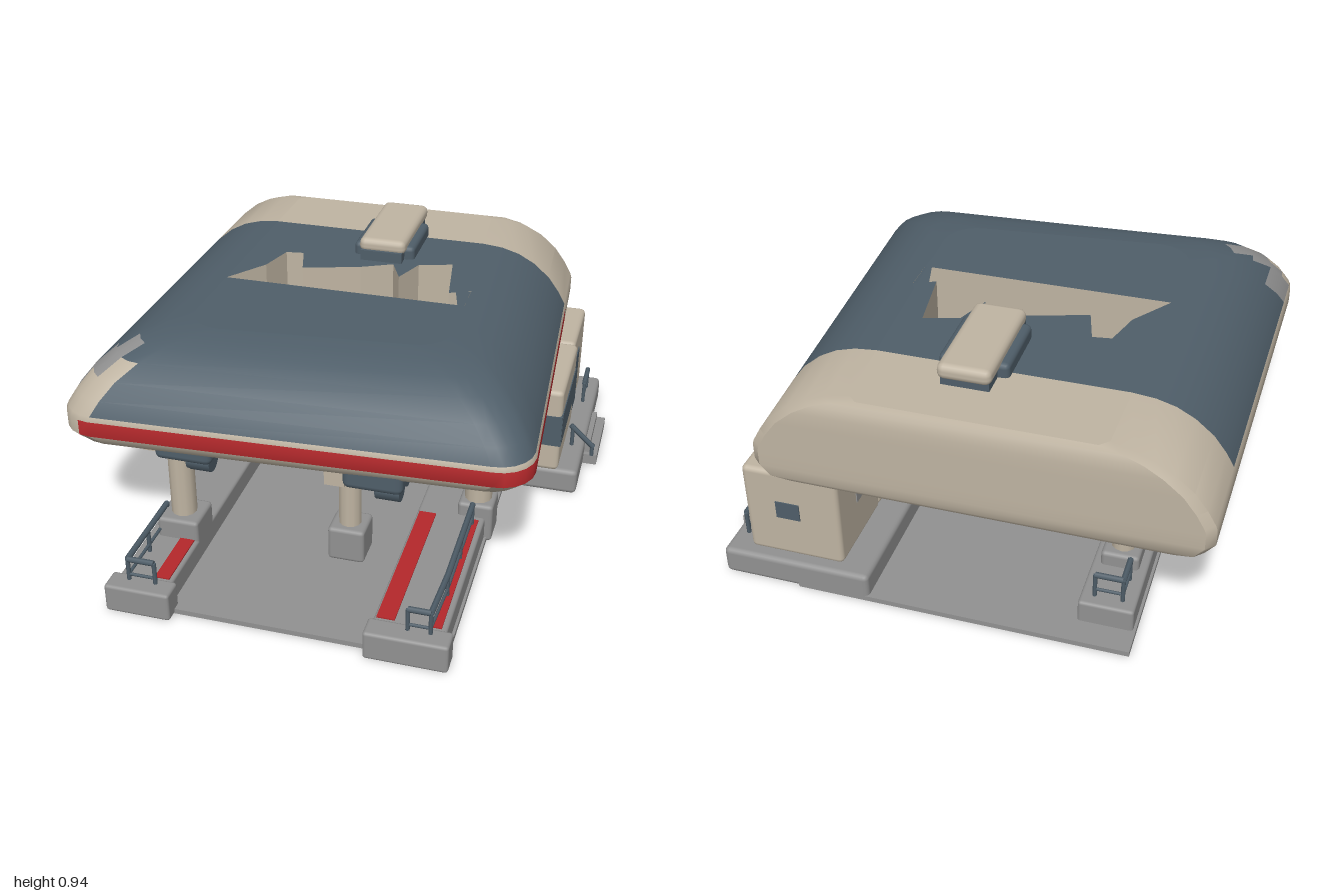
import * as THREE from 'three';
import { toCreasedNormals } from 'three/addons/utils/BufferGeometryUtils.js';
import { RoundedBoxGeometry } from 'three/addons/geometries/RoundedBoxGeometry.js';

const paint = (name, color, side = THREE.FrontSide) => {
  const m = new THREE.MeshStandardMaterial({ color, side });
  m.name = name;
  return m;
};

export function createModel() {
  const slate = paint('slate', 0x4f5e69);
  const tan = paint('tan', 0xbfb4a2, THREE.DoubleSide);
  const red = paint('red', 0xb4282b);
  const gray = paint('gray', 0x919191);
  const model = new THREE.Group();

  const add = (name, geo, mat, parent = model) => {
    const mesh = new THREE.Mesh(geo, mat);
    mesh.name = name;
    parent.add(mesh);
    return mesh;
  };
  // Box from its limits, with optional rounded edges
  const box = (name, mat, [x0, x1], [y0, y1], [z0, z1], r = 0) => {
    const s = [x1 - x0, y1 - y0, z1 - z0];
    const mesh = add(name, r ? new RoundedBoxGeometry(...s, 2, r) : new THREE.BoxGeometry(...s), mat);
    mesh.position.set((x0 + x1) / 2, (y0 + y1) / 2, (z0 + z1) / 2);
    return mesh;
  };
  const bar = (name, mat, a, b, r, parent) => {
    const p = new THREE.Vector3(...a), q = new THREE.Vector3(...b);
    const mesh = add(name, new THREE.CylinderGeometry(r, r, p.distanceTo(q), 6), mat, parent);
    mesh.position.copy(p).add(q).multiplyScalar(0.5);
    mesh.quaternion.setFromUnitVectors(new THREE.Vector3(0, 1, 0), q.sub(p).normalize());
    return mesh;
  };

  // ---- Canopy: stacked rounded outlines, slightly skewed in plan ----
  const chain = (left, d, db) => {
    const f = left ? 0.72 : 0.65, r = 0.13, s = left ? -1 : 1;
    const edge = z => left ? -0.93 + (0.72 - z) * 0.023 + d : 0.79 - (0.66 - z) * 0.054 - d;
    const pts = [[edge(-1) - s * 0.03, -1 + db], [edge(-0.96), -0.97 + db]];
    for (const z of [-0.66, 0, f - d - 0.27]) pts.push([edge(z), z]);
    const zc = f - d - r, xc = edge(zc) - s * r;
    for (let k = 0; k <= 5; k++) {
      const a = k / 5 * Math.PI / 2;
      pts.push([xc + s * r * Math.cos(a), zc + r * Math.sin(a)]);
    }
    return pts;
  };
  const outline = (d, db) => [...chain(true, d, db), ...chain(false, d, db).reverse()];
  // height, side and front inset, back inset
  const layers = [
    [0.475, 0.24, 0.16], [0.475, 0.1, 0.02], [0.495, 0.035, 0.005], [0.54, 0, 0], [0.6, 0, 0], [0.618, 0.006, 0],
    [0.67, 0.035, 0], [0.73, 0.08, 0], [0.785, 0.145, 0], [0.82, 0.21, 0.006], [0.84, 0.28, 0.016], [0.848, 0.36, 0.035],
  ];
  const rings = layers.map(([y, d, db]) => outline(d, db).map(([x, z]) => [x, y, z]));
  const canopyMats = [tan, slate, red, gray];
  const colourOf = (x, y, z, j) => {
    if (z < -0.66 || j < 3 || j === 4) return 0;
    if (j === 3) return x > -0.85 ? 2 : 0;
    if (x < -0.68 && z > 0.57) return 0;
    if (x < -0.68 && z > 0.44) return 3;
    return 1;
  };
  const buckets = [[], [], [], []];
  for (let j = 0; j + 1 < rings.length; j++) {
    const A = rings[j], B = rings[j + 1], n = A.length;
    for (let i = 0; i < n; i++) {
      const k = (i + 1) % n, quad = [A[i], A[k], B[k], B[i]];
      const mid = [0, 1, 2].map(c => quad.reduce((t, p) => t + p[c], 0) / 4);
      const [a, b, c, d] = quad;
      buckets[colourOf(...mid, j)].push(...a, ...b, ...c, ...a, ...c, ...d);
    }
  }
  const hull = new THREE.BufferGeometry();
  hull.setAttribute('position', new THREE.Float32BufferAttribute(buckets.flat(), 3));
  let start = 0;
  buckets.forEach((b, i) => {
    hull.addGroup(start, b.length / 3, i);
    start += b.length / 3;
  });
  add('canopyHull', toCreasedNormals(hull, 0.7), canopyMats);

  // Flat caps
  const cap = (name, pts, y, mat, up = true, hole) => {
    const s = up ? -1 : 1;
    const toV = p => new THREE.Vector2(p[0], s * p[1]);
    const shape = new THREE.Shape(pts.map(toV));
    if (hole) shape.holes.push(new THREE.Path(hole.map(toV)));
    const geo = new THREE.ShapeGeometry(shape).rotateX(s * Math.PI / 2);
    add(name, geo, mat).position.y = y;
  };
  const top = layers.at(-1), roofY = top[0];
  const L = chain(true, top[1], top[2]), R = chain(false, top[1], top[2]);
  // Jagged opening in the roof
  const hole = [[-0.55, -0.065], [0.4, -0.065], [0.4, -0.2], [0.32, -0.16], [0.28, -0.42], [0.15, -0.38], [0.1, -0.25],
    [0.05, -0.36], [-0.07, -0.3], [-0.29, -0.23], [-0.33, -0.37], [-0.4, -0.36], [-0.44, -0.22]];
  cap('roofBack', [...L.slice(0, 3), ...R.slice(0, 3).reverse()], roofY, tan);
  cap('roofFront', [...L.slice(2), ...R.slice(2).reverse()], roofY, slate, true, hole);
  cap('ceiling', outline(layers[0][1], layers[0][2]), layers[0][0], slate, false);
  cap('openingFloor', hole, 0.6, slate);
  const wall = [];
  hole.forEach(([x, z], i) => {
    const [u, w] = hole[(i + 1) % hole.length];
    const a = [x, 0.6, z], b = [u, 0.6, w], c = [u, roofY, w], d = [x, roofY, z];
    wall.push(...a, ...c, ...b, ...a, ...d, ...c);
  });
  const wallGeo = new THREE.BufferGeometry();
  wallGeo.setAttribute('position', new THREE.Float32BufferAttribute(wall, 3));
  wallGeo.computeVertexNormals();
  add('openingWalls', wallGeo, tan);

  // Roof vent
  box('ventBase', slate, [-0.13, 0.12], [0.83, 0.9], [-0.7, -0.42], 0.02);
  box('ventNeck', slate, [-0.09, 0.08], [0.83, 0.89], [-0.79, -0.37]);
  box('ventHood', tan, [-0.1, 0.09], [0.875, 0.935], [-0.81, -0.38], 0.025);

  // ---- Ground slab and platforms ----
  box('floorSlab', gray, [-0.64, 0.58], [0, 0.02], [-1, 0.95]);
  box('rightPlatform', gray, [-0.63, -0.43], [0, 0.105], [-0.9, 0.95], 0.012);
  box('leftPlatform', gray, [0.31, 0.57], [0, 0.105], [-0.3, 0.95], 0.012);
  box('rightFrontBlock', gray, [-0.655, -0.41], [0, 0.112], [0.91, 1], 0.012);
  box('leftFrontBlock', gray, [0.295, 0.595], [0, 0.112], [0.91, 1], 0.012);
  box('cabinBase', gray, [0.31, 0.87], [0, 0.108], [-1, -0.18], 0.02);
  box('cabinStep', gray, [0.8, 0.925], [0, 0.045], [-0.75, -0.43]);
  box('upperStep', gray, [0.8, 0.89], [0.04, 0.08], [-0.73, -0.45]);
  for (const [x0, x1, z0] of [[-0.5, -0.445, 0.6], [0.32, 0.385, 0.25], [0.52, 0.55, 0.25]])
    box('redStrip', red, [x0, x1], [0.104, 0.11], [z0, 0.9]);

  // ---- Columns on pedestals ----
  for (const [x, z, r, foot, y0, y1] of [
    [-0.51, 0.58, 0.048, 0.08, 0.05, 0.185], [0.1, 0.45, 0.043, 0.07, 0.02, 0.16],
    [0.53, 0.16, 0.053, 0.068, 0, 0.16], [-0.53, -0.62, 0.045, 0.07, 0.05, 0.16]]) {
    add('column', new THREE.CylinderGeometry(r, r, 0.38, 12), tan).position.set(x, 0.3, z);
    box('pedestal', gray, [x - foot, x + foot], [y0, y1], [z - foot, z + foot], 0.015);
  }

  // ---- Machinery hung beneath the canopy ----
  for (const [x, z, s] of [[-0.48, 0.47, 1], [0.23, 0.47, 1], [-0.45, -0.12, 0.6]]) {
    box('motorHousing', slate, [x - 0.11, x + 0.11], [0.43, 0.53], [z - 0.17 * s, z + 0.17 * s], 0.025);
    for (const k of [-1, 0, 1]) {
      const drum = add('motorDrum', new THREE.CylinderGeometry(0.05, 0.05, 0.09, 12).rotateZ(Math.PI / 2), slate);
      drum.position.set(x + 0.05, 0.425, z + k * 0.1 * s);
    }
  }
  box('hanger', tan, [-0.67, -0.6], [0.41, 0.52], [0.48, 0.56]);
  box('hanger', tan, [0.045, 0.12], [0.41, 0.52], [0.53, 0.6]);

  // ---- Cabin ----
  box('cabinFront', tan, [0.42, 0.79], [0.1, 0.465], [-0.61, -0.18], 0.02);
  box('cabinBack', tan, [0.42, 0.78], [0.1, 0.47], [-0.95, -0.6], 0.02);
  box('sideWindow', slate, [0.786, 0.794], [0.22, 0.36], [-0.59, -0.19]);
  box('frontWindow', slate, [0.58, 0.793], [0.22, 0.355], [-0.186, -0.177]);
  box('door', slate, [0.776, 0.784], [0.11, 0.37], [-0.77, -0.63]);
  box('backWindow', slate, [0.57, 0.66], [0.27, 0.34], [-0.954, -0.947]);
  box('innerWindow', gray, [0.416, 0.423], [0.27, 0.35], [-0.8, -0.7]);

  // ---- Railings: a path of posts with a top and a middle rail ----
  const railing = (points, base = 0.1) => {
    const g = new THREE.Group();
    g.name = 'railing';
    model.add(g);
    points.forEach(([x, z], i) => {
      bar('railPost', slate, [x, base, z], [x, base + 0.1, z], 0.008, g);
      if (!i) return;
      const [u, w] = points[i - 1];
      for (const [h, r] of [[0.1, 0.011], [0.035, 0.006]])
        bar('rail', slate, [u, base + h, w], [x, base + h, z], r, g);
    });
  };
  railing([[-0.48, 0.94], [-0.58, 0.94], [-0.58, 0.76], [-0.58, 0.58]]);
  railing([[0.44, 0.94], [0.52, 0.94], [0.53, 0.72], [0.53, 0.5], [0.53, 0.28]]);
  railing([[-0.58, 0.2], [-0.58, -0.02], [-0.58, -0.22], [-0.58, -0.42]]);
  railing([[0.53, 0.04], [0.53, -0.15]]);
  railing([[-0.48, -0.85], [-0.58, -0.85], [-0.58, -0.74]]);
  railing([[0.82, -0.76], [0.82, -0.89]]);
  // Handrail sloping down beside the steps
  bar('stepRail', slate, [0.81, 0.2, -0.39], [0.91, 0.11, -0.39], 0.011);
  bar('stepRailPost', slate, [0.82, 0.09, -0.39], [0.82, 0.2, -0.39], 0.009);
  bar('stepRailPost', slate, [0.905, 0.07, -0.39], [0.905, 0.12, -0.39], 0.009);

  return model;
}
